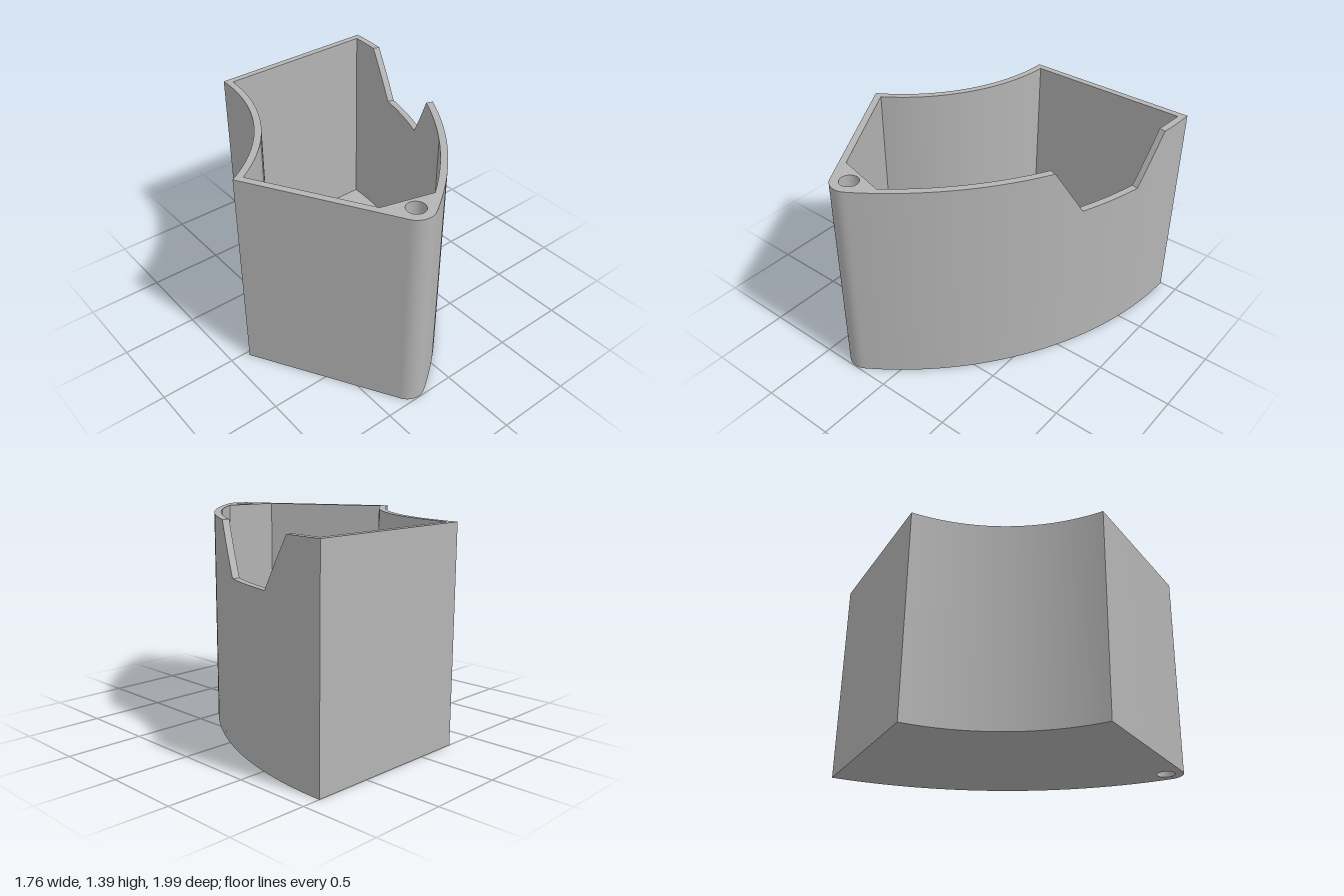
import * as THREE from 'three';
import { toCreasedNormals } from 'three/addons/utils/BufferGeometryUtils.js';

// Plan is a 60 degree ring sector, drawn about the ring centre
const CX = -1.475, CZ = -1, HEIGHT = 1.395, FLOOR = 0.045, WALL = 0.045;
const R_IN = 1.19, R_OUT = 2.355, END = Math.PI / 3;
const CAV_IN = R_IN + WALL, CAV_OUT = R_OUT - WALL;
const BOSS_R = 0.115, BOSS_D = R_OUT - BOSS_R;
const BOSS_A = END - Math.asin(BOSS_R / BOSS_D);
const BOSS_X = BOSS_D * Math.cos(BOSS_A), BOSS_Y = BOSS_D * Math.sin(BOSS_A);

// Notch: a trapezoid cut straight through the outer wall
const NOTCH_A = 0.295, NOTCH_TOP = 0.43, NOTCH_BOTTOM = 0.22, NOTCH_Y = 1.065;
const notchAngle = (r, t) => NOTCH_A + Math.asin(t / r);

function addScrewHole(shape) {
  const hole = new THREE.Path();
  hole.absarc(BOSS_X, BOSS_Y, 0.06, 0, Math.PI * 2, true);
  shape.holes.push(hole);
  return shape;
}

// From one outer-arc angle, round the boss, the end wall and the inner arc, to the back corner
function traceOutside(shape, from) {
  shape.absarc(0, 0, R_OUT, from, BOSS_A, false);
  shape.absarc(BOSS_X, BOSS_Y, BOSS_R, BOSS_A, END + Math.PI / 2, false);
  shape.absarc(0, 0, R_IN, END, 0, true);
}

function floorShape() {
  const s = new THREE.Shape();
  traceOutside(s, 0);
  return addScrewHole(s);
}

// Wall band running from one side of the notch all the way round to the other
function wallShape() {
  const s = new THREE.Shape();
  const inset = Math.asin(WALL / CAV_IN);
  traceOutside(s, notchAngle(R_OUT, NOTCH_TOP));
  s.absarc(0, 0, R_OUT, 0, notchAngle(R_OUT, -NOTCH_TOP), false);
  s.absarc(0, 0, CAV_OUT, notchAngle(CAV_OUT, -NOTCH_TOP), Math.asin(WALL / CAV_OUT), true);
  s.absarc(0, 0, CAV_IN, inset, END - inset, false);
  s.lineTo(1.065, 1.755);
  s.absarc(0, 0, CAV_OUT, 0.922, notchAngle(CAV_OUT, NOTCH_TOP), true);
  return addScrewHole(s);
}

function extrudeUp(shape, y0, y1) {
  const g = new THREE.ExtrudeGeometry(shape, { depth: y1 - y0, bevelEnabled: false, curveSegments: 48 });
  g.rotateX(Math.PI / 2).translate(CX, y1, CZ);
  return toCreasedNormals(g, 0.4);
}

// Wall section under the notch, lofted from quads whose top follows the trapezoid
function notchedWall() {
  const ts = [];
  for (let i = 0; i <= 8; i++) ts.push(-NOTCH_TOP + (NOTCH_TOP - NOTCH_BOTTOM) * i / 8);
  for (let i = 1; i < 16; i++) ts.push(-NOTCH_BOTTOM + 2 * NOTCH_BOTTOM * i / 16);
  for (let i = 0; i <= 8; i++) ts.push(NOTCH_BOTTOM + (NOTCH_TOP - NOTCH_BOTTOM) * i / 8);
  const sections = ts.map((t) => {
    const rise = Math.max(0, (Math.abs(t) - NOTCH_BOTTOM) / (NOTCH_TOP - NOTCH_BOTTOM));
    const top = NOTCH_Y + rise * (HEIGHT - NOTCH_Y);
    const at = (r, y) => {
      const a = notchAngle(r, t);
      return [CX + r * Math.cos(a), y, CZ + r * Math.sin(a)];
    };
    return [at(CAV_OUT, FLOOR), at(R_OUT, FLOOR), at(R_OUT, top), at(CAV_OUT, top)];
  });
  const pos = [];
  for (let i = 0; i < sections.length - 1; i++) {
    for (let j = 1; j < 4; j++) {
      const k = (j + 1) % 4, p = sections[i], q = sections[i + 1];
      for (const v of [p[j], p[k], q[k], p[j], q[k], q[j]]) pos.push(...v);
    }
  }
  const g = new THREE.BufferGeometry();
  g.setAttribute('position', new THREE.Float32BufferAttribute(pos, 3));
  return toCreasedNormals(g, 0.4);
}

export function createModel() {
  const group = new THREE.Group();
  group.name = 'curvedBin';
  const grey = new THREE.MeshStandardMaterial({ color: 0xb4b4b4 });
  grey.name = 'grey plastic';
  const add = (name, geometry) => {
    const mesh = new THREE.Mesh(geometry, grey);
    mesh.name = name;
    group.add(mesh);
  };
  add('floor', extrudeUp(floorShape(), 0, FLOOR));
  add('walls', extrudeUp(wallShape(), FLOOR, HEIGHT));
  add('notchedWall', notchedWall());
  return group;
}
